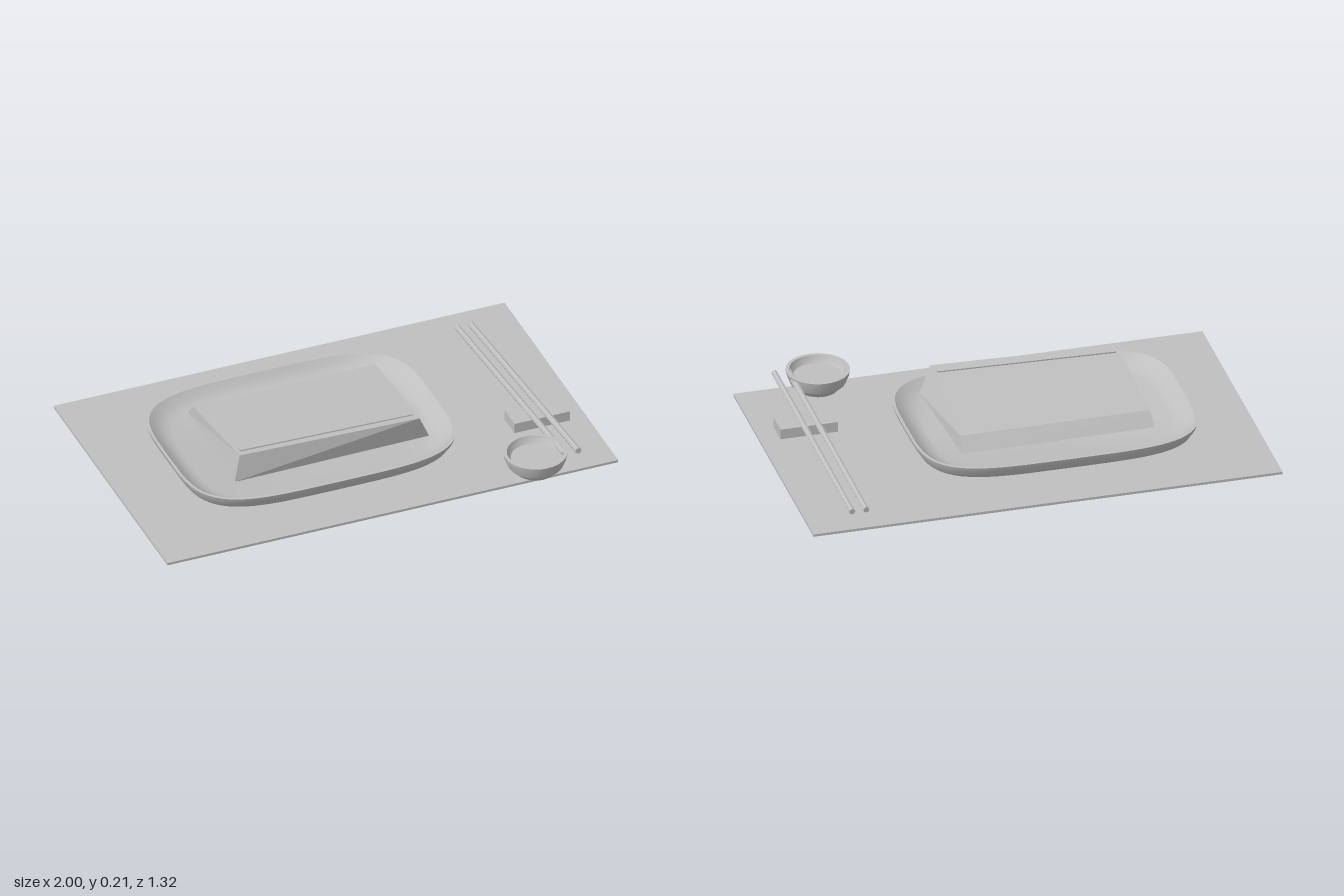
import * as THREE from 'three';
import { toCreasedNormals } from 'three/addons/utils/BufferGeometryUtils.js';

const grey = new THREE.MeshStandardMaterial({ color: 0xbfbfbf });
grey.name = 'plain grey';

function addMesh(group, name, geometry, x = 0, y = 0, z = 0) {
  const mesh = new THREE.Mesh(geometry, grey);
  mesh.name = name;
  mesh.position.set(x, y, z);
  group.add(mesh);
  return mesh;
}

// Skin over closed rings of [x, y, z] points, listed from the bottom up and
// running counterclockwise seen from above; both ends are closed with fans.
function loft(rings, crease) {
  const n = rings[0].length;
  const pos = rings.flat(2);
  const index = [];
  for (let r = 0; r < rings.length - 1; r++) {
    for (let i = 0; i < n; i++) {
      const a = r * n + i, b = r * n + (i + 1) % n;
      index.push(a, b, b + n, a, b + n, a + n);
    }
  }
  const last = (rings.length - 1) * n;
  for (let i = 1; i < n - 1; i++) {
    index.push(0, i + 1, i);
    index.push(last, last + i, last + i + 1);
  }
  const geo = new THREE.BufferGeometry();
  geo.setAttribute('position', new THREE.Float32BufferAttribute(pos, 3));
  geo.setIndex(index);
  return toCreasedNormals(geo, crease);
}

// Rounded rectangle ring with half sizes a and b
function roundedRing(a, b, y, n = 64) {
  const bend = (v) => Math.sign(v) * Math.sqrt(Math.abs(v));
  return Array.from({ length: n }, (_, i) => {
    const t = (i / n) * Math.PI * 2;
    return [a * bend(Math.cos(t)), y, -b * bend(Math.sin(t))];
  });
}

// Round bar between two points
function addBar(group, name, from, to, r0, r1, sides) {
  const a = new THREE.Vector3(...from), b = new THREE.Vector3(...to);
  const dir = b.clone().sub(a);
  const geo = toCreasedNormals(new THREE.CylinderGeometry(r1, r0, dir.length(), sides), 0.5);
  const mesh = addMesh(group, name, geo);
  mesh.position.copy(a).add(b).multiplyScalar(0.5);
  mesh.quaternion.setFromUnitVectors(new THREE.Vector3(0, 1, 0), dir.normalize());
}

export function createModel() {
  const model = new THREE.Group();
  model.name = 'tableSetting';

  // Placemat
  addMesh(model, 'placemat', new THREE.BoxGeometry(2, 0.011, 1.24), 0, 0.0055, -0.04);

  // Plate: outer wall, lip, curved inner slope and floor
  const plateProfile = [
    [0.49, 0.35, 0.011], [0.51, 0.365, 0.02], [0.575, 0.415, 0.04], [0.595, 0.435, 0.075],
    [0.6, 0.44, 0.095], [0.588, 0.428, 0.095], [0.56, 0.408, 0.07], [0.53, 0.386, 0.053],
    [0.5, 0.365, 0.046],
  ];
  addMesh(model, 'plate', loft(plateProfile.map((p) => roundedRing(...p)), 0.5), -0.16, 0, -0.03);

  // Food block with a sloping top and uneven sides
  const block = [
    [[-0.565, 0.092, 0.245], [0.3, 0.095, 0.237], [0.268, 0.092, -0.305], [-0.555, 0.092, -0.295]],
    [[-0.535, 0.203, 0.225], [0.25, 0.207, 0.257], [0.262, 0.15, -0.255], [-0.548, 0.15, -0.25]],
  ];
  addMesh(model, 'foodBlock', loft(block, 0.1));
  const ridge = addMesh(model, 'foodRidge', new THREE.BoxGeometry(0.755, 0.008, 0.022), -0.142, 0.202, 0.197);
  ridge.rotation.set(-0.1, -0.036, 0);

  // Dipping bowl
  const bowlProfile = [
    [0, 0.02], [0.085, 0.02], [0.09, 0.03], [0.115, 0.05], [0.129, 0.085], [0.133, 0.107],
    [0.118, 0.107], [0.112, 0.09], [0.102, 0.078], [0, 0.078],
  ].map(([r, y]) => new THREE.Vector2(r, y));
  addMesh(model, 'dippingBowl', toCreasedNormals(new THREE.LatheGeometry(bowlProfile, 28), 0.5), 0.655, 0, 0.525);

  // Chopsticks and their rest
  addMesh(model, 'chopstickRest', new THREE.BoxGeometry(0.245, 0.045, 0.11), 0.797, 0.0425, 0.195);
  addBar(model, 'rightChopstick', [0.743, 0.028, -0.545], [0.769, 0.092, 0.565], 0.013, 0.0135, 8);
  addBar(model, 'leftChopstick', [0.803, 0.028, -0.545], [0.829, 0.092, 0.567], 0.013, 0.0135, 8);

  return model;
}
